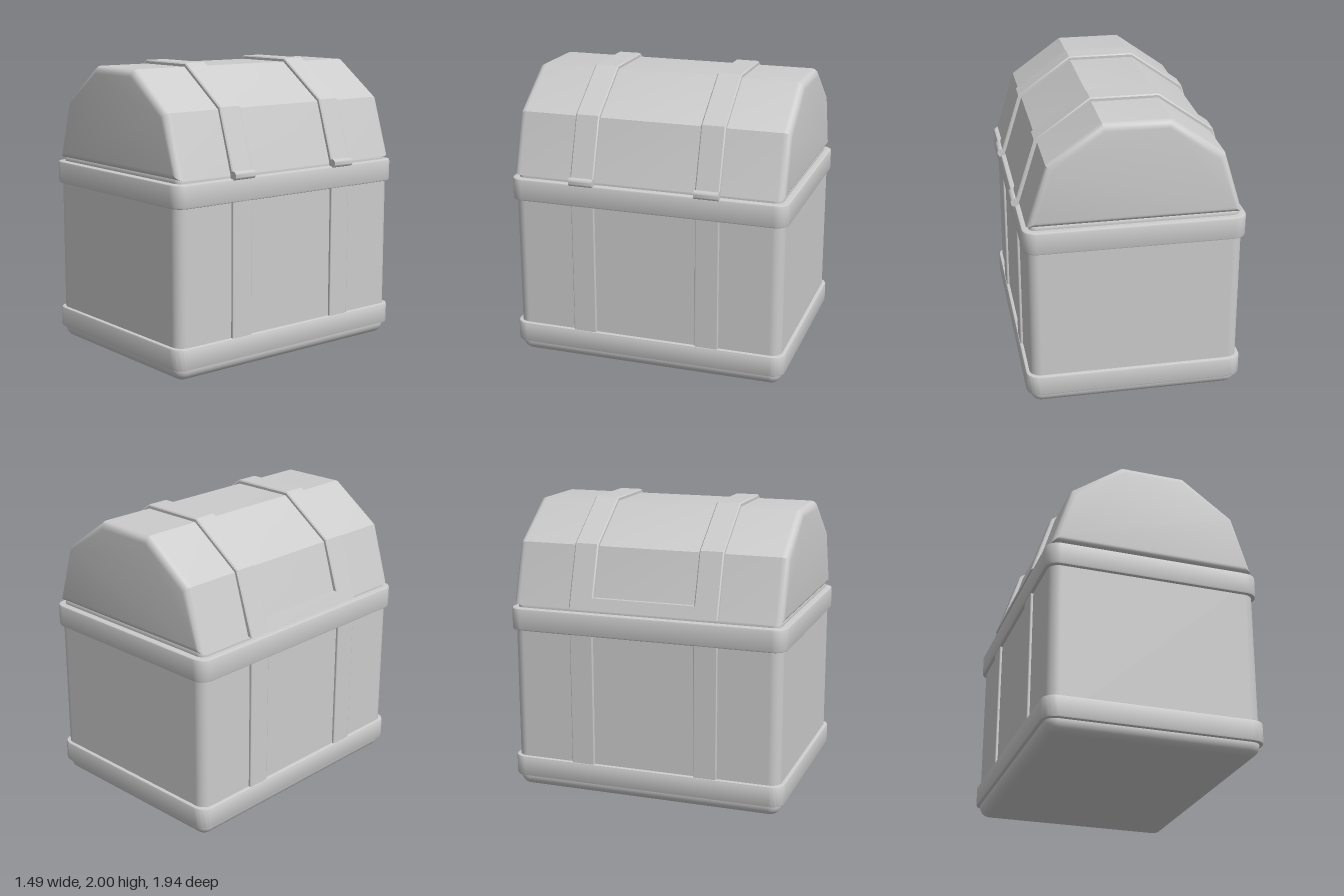
import * as THREE from 'three';
import { toCreasedNormals } from 'three/addons/utils/BufferGeometryUtils.js';
import { RoundedBoxGeometry } from 'three/addons/geometries/RoundedBoxGeometry.js';

const material = new THREE.MeshStandardMaterial({ color: 0xcccccc });
const CX = -0.015; // the hinges stick out on +x, so the chest itself sits slightly to -x

const polygon = (points) => new THREE.Shape(points.map(([x, y]) => new THREE.Vector2(x, y)));

// Extrudes a shape to a total depth centred on z = 0, with the bevel kept inside the outline
function bevelled(shape, depth, bevel, segments) {
  const geometry = new THREE.ExtrudeGeometry(shape, {
    depth: depth - 2 * bevel, bevelThickness: bevel, bevelSize: bevel,
    bevelOffset: -bevel, bevelSegments: segments, curveSegments: 6,
  });
  geometry.translate(0, 0, -depth / 2 + bevel);
  return toCreasedNormals(geometry, 0.5);
}

function roundedRect(w, h, r) {
  const s = new THREE.Shape();
  const x = w / 2, y = h / 2;
  s.absarc(x - r, y - r, r, 0, Math.PI / 2);
  s.absarc(-x + r, y - r, r, Math.PI / 2, Math.PI);
  s.absarc(-x + r, -y + r, r, Math.PI, Math.PI * 1.5);
  s.absarc(x - r, -y + r, r, Math.PI * 1.5, Math.PI * 2);
  return s;
}

export function createModel() {
  const group = new THREE.Group();
  const add = (name, geometry, x = 0, y = 0, z = 0) => {
    const mesh = new THREE.Mesh(geometry, material);
    mesh.name = name;
    mesh.position.set(x, y, z);
    group.add(mesh);
    return mesh;
  };

  // Body with rounded edges, and the recessed seam below the lid
  add('body', new RoundedBoxGeometry(1.42, 1.28, 1.89, 4, 0.075), CX, 0.64);
  add('seam', new RoundedBoxGeometry(1.38, 0.12, 1.85, 3, 0.05), CX, 1.28);

  // Horizontal bands round the body
  const band = (name, bottom, top) => {
    const geometry = bevelled(roundedRect(1.47, 1.94, 0.09), top - bottom, 0.012, 2);
    geometry.rotateX(-Math.PI / 2);
    add(name, geometry, CX, (bottom + top) / 2);
  };
  band('lowerBand', 0.08, 0.225);
  band('upperBand', 1.13, 1.285);

  // Faceted lid
  const lid = polygon([
    [-0.715, 1.305], [0.69, 1.305], [0.56, 1.72], [0.205, 1.975], [-0.235, 1.975], [-0.59, 1.72],
  ]);
  add('lid', bevelled(lid, 1.89, 0.05, 5));

  // Straps over the lid, their continuation on the body, and the hinge barrels
  const strap = polygon([
    [-0.745, 1.31], [0.716, 1.31], [0.58, 1.735], [0.212, 2], [-0.24, 2], [-0.61, 1.735],
  ]);
  for (const z of [0.437, -0.437]) {
    add('lidStrap', bevelled(strap, 0.168, 0.008, 1), 0, 0, z);
    add('bodyStrap', new RoundedBoxGeometry(1.456, 0.95, 0.164, 1, 0.008), CX, 0.677, z);
    const hinge = new THREE.CylinderGeometry(0.03, 0.03, 0.168, 10);
    hinge.rotateX(Math.PI / 2);
    add('hinge', toCreasedNormals(hinge, 0.8), 0.716, 1.305, z);
  }

  // Rim strip joining the lid straps on the opening side
  const rim = polygon([[-0.745, 1.31], [-0.6, 1.31], [-0.6, 1.39], [-0.719, 1.39]]);
  add('lidRim', bevelled(rim, 0.74, 0.006, 1));

  return group;
}
